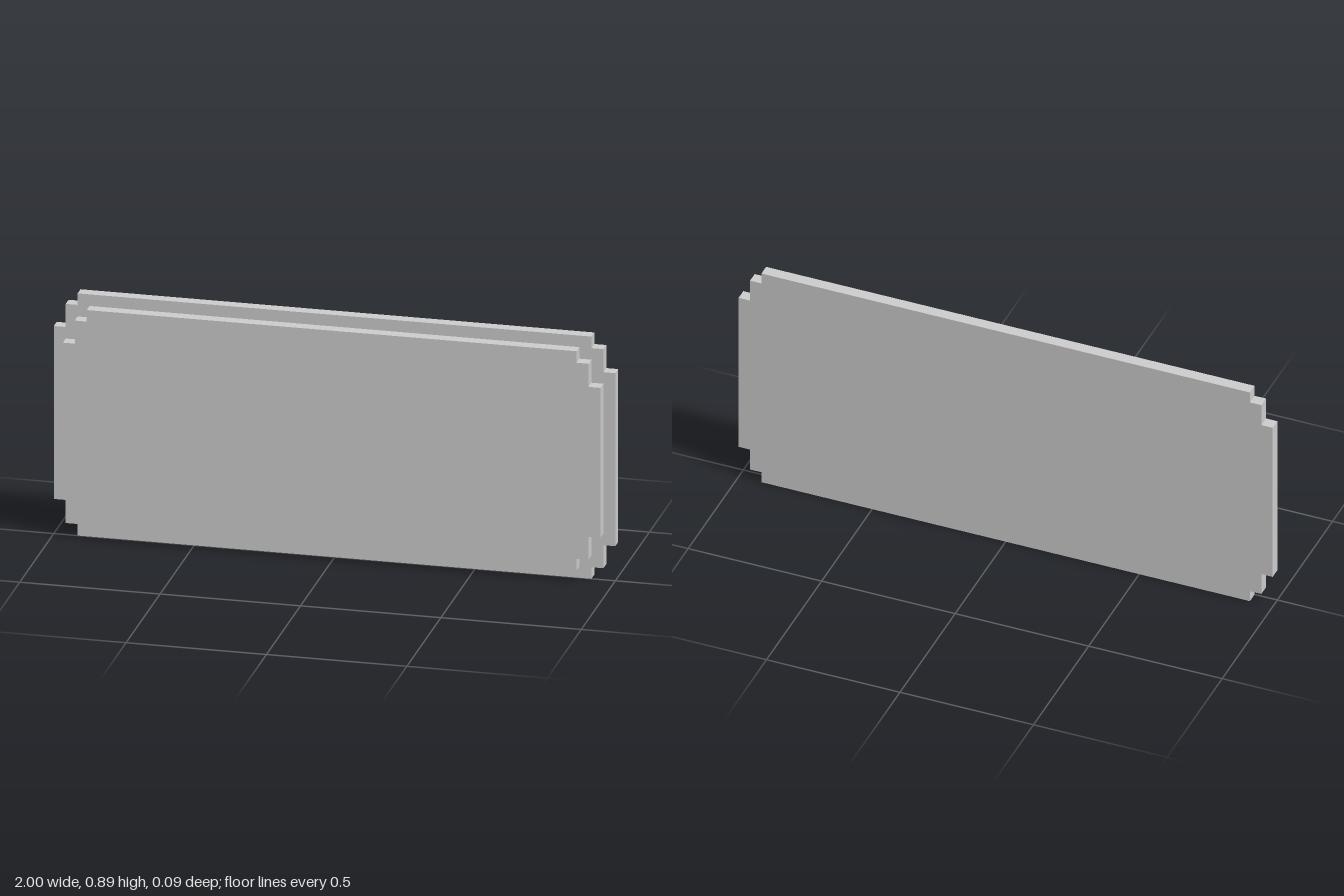
import * as THREE from 'three';

const UNIT = 2 / 47; // one step of the stair-cut corners

// Plate outline with two-step corners, shrunk evenly by `inset` steps
function steppedOutline(inset) {
  const quarter = [[23.5, 7.5], [22.5, 7.5], [22.5, 9.5], [21.5, 9.5], [21.5, 10.5]]
    .map(([x, y]) => [(x - inset) * UNIT, (y - inset) * UNIT]);
  const mirrored = (sx, sy) => quarter.map(([x, y]) => new THREE.Vector2(x * sx, y * sy));
  return new THREE.Shape([
    ...mirrored(1, 1),
    ...mirrored(-1, 1).reverse(),
    ...mirrored(-1, -1),
    ...mirrored(1, -1).reverse(),
  ]);
}

export function createModel() {
  const group = new THREE.Group();
  group.name = 'steppedPanel';
  const material = new THREE.MeshStandardMaterial({ color: 0xcccccc, flatShading: true });

  function addPlate(name, inset, z) {
    const geometry = new THREE.ExtrudeGeometry(steppedOutline(inset), { depth: UNIT, bevelEnabled: false });
    const plate = new THREE.Mesh(geometry, material);
    plate.name = name;
    plate.position.set(0, 10.5 * UNIT, z);
    group.add(plate);
  }

  addPlate('backPlate', 0, -UNIT); // larger backing
  addPlate('frontPlate', 1, 0);    // raised face, one step smaller all round
  return group;
}
